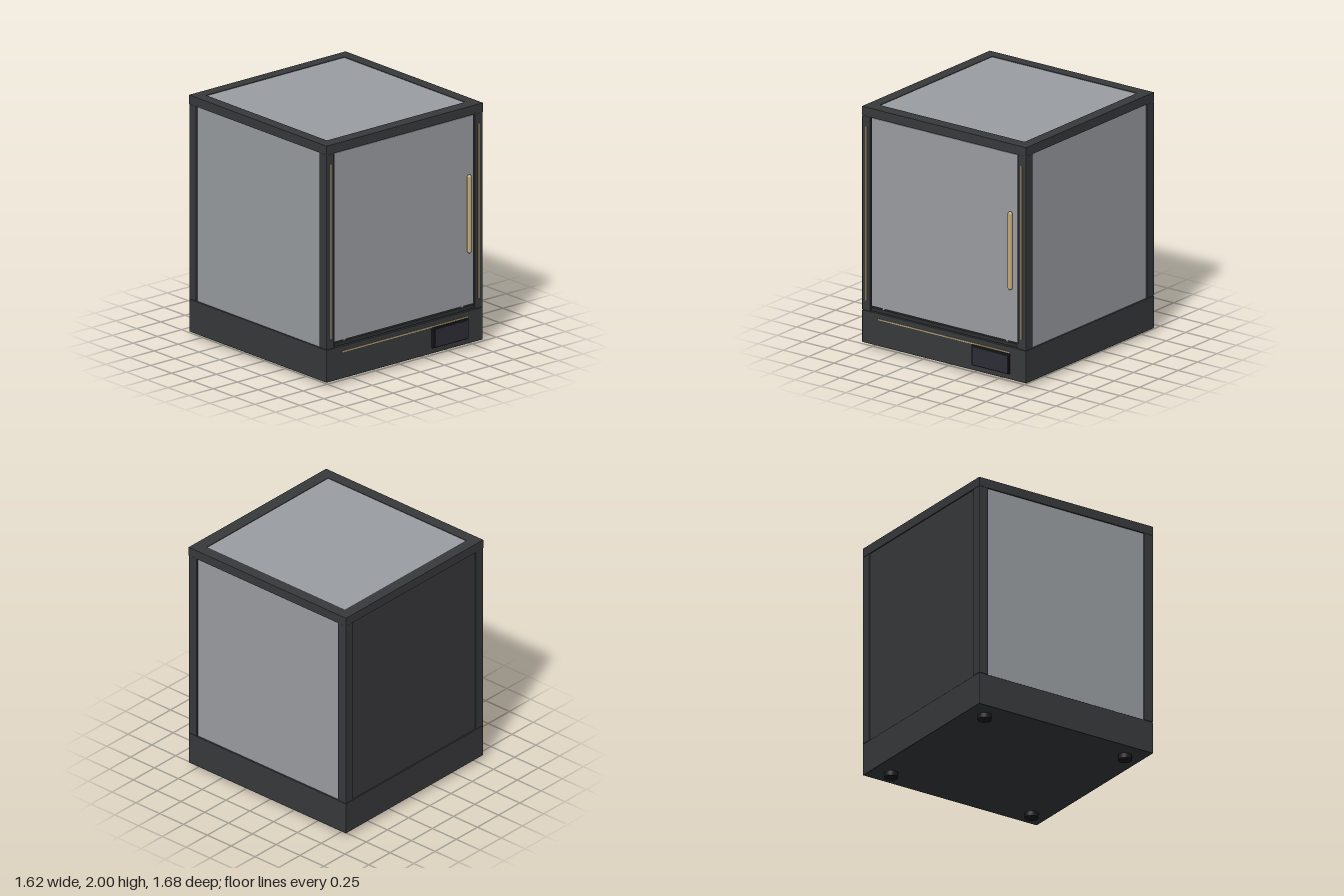
import * as THREE from 'three';
import { RoundedBoxGeometry } from 'three/addons/geometries/RoundedBoxGeometry.js';

const mat = (color) => new THREE.MeshStandardMaterial({ color });

export function createModel() {
  const model = new THREE.Group();
  const dark = mat(0x38393b), trim = mat(0x2c2e30), glass = mat(0x9a9da1);
  const gold = mat(0xc4ab7a), black = mat(0x1c1c20), display = mat(0x2d2d36);

  const add = (name, geometry, material, x = 0, y = 0, z = 0) => {
    const mesh = new THREE.Mesh(geometry, material);
    mesh.name = name;
    mesh.position.set(x, y, z);
    model.add(mesh);
    return mesh;
  };
  // Box given by its limits on each axis; r rounds the edges
  const box = (name, material, [x0, x1], [y0, y1], [z0, z1], r = 0) => {
    const size = [x1 - x0, y1 - y0, z1 - z0];
    const geometry = r ? new RoundedBoxGeometry(...size, 2, r) : new THREE.BoxGeometry(...size);
    return add(name, geometry, material, (x0 + x1) / 2, (y0 + y1) / 2, (z0 + z1) / 2);
  };

  // Base plinth
  box('base', dark, [-0.81, 0.81], [0.04, 0.31], [-0.84, 0.81], 0.004);

  // Top frame with a rectangular opening
  const rect = (target, x0, x1, z0, z1) => {
    target.moveTo(x0, -z1).lineTo(x1, -z1).lineTo(x1, -z0).lineTo(x0, -z0).closePath();
    return target;
  };
  const frame = rect(new THREE.Shape(), -0.81, 0.81, -0.84, 0.81);
  frame.holes.push(rect(new THREE.Path(), -0.715, 0.715, -0.745, 0.705));
  const frameGeometry = new THREE.ExtrudeGeometry(frame, { depth: 0.075, bevelEnabled: false });
  frameGeometry.rotateX(-Math.PI / 2);
  add('topFrame', frameGeometry, dark, 0, 1.925, 0);
  box('topGlass', glass, [-0.715, 0.715], [1.97, 1.995], [-0.745, 0.705]);

  for (const s of [-1, 1]) {
    const span = (a, b) => (s > 0 ? [a, b] : [-b, -a]);
    // Corner posts
    box('frontPost', dark, span(0.728, 0.81), [0.31, 1.925], [0.725, 0.81], 0.004);
    box('backPost', dark, span(0.725, 0.81), [0.31, 1.925], [-0.84, -0.755], 0.004);
    // Side glass, set in slightly
    box('sideGlass', glass, span(0.775, 0.797), [0.31, 1.925], [-0.755, 0.725]);
    // Vertical gold inlays
    box('postInlay', gold, span(0.76, 0.77), [0.395, 1.84], [0.805, 0.815]);
    // Door hinge tabs
    box('doorTab', glass, span(0.6, 0.62), [0.345, 0.358], [0.775, 0.797]);
    // Round feet
    for (const z of [-0.68, 0.65]) {
      add('foot', new THREE.CylinderGeometry(0.055, 0.055, 0.045, 24), black, s * 0.65, 0.0225, z);
    }
  }

  // Back panel
  box('backPanel', dark, [-0.725, 0.725], [0.31, 1.925], [-0.83, -0.805]);

  // Door with its sill and narrow side rails
  box('doorGlass', glass, [-0.72, 0.717], [0.355, 1.918], [0.775, 0.8]);
  box('doorSill', trim, [-0.72, 0.72], [0.315, 0.345], [0.76, 0.8]);
  for (const x of [-0.7235, 0.7235]) {
    box('doorSeal', trim, [x - 0.0045, x + 0.0045], [0.31, 1.925], [0.73, 0.795]);
  }

  // Door handle
  add('handle', new THREE.CapsuleGeometry(0.019, 0.612, 6, 16), gold, 0.66, 1.115, 0.821);

  // Base inlay and control screen
  box('baseInlay', gold, [-0.65, 0.65], [0.257, 0.267], [0.805, 0.815]);
  box('screenBezel', black, [0.28, 0.65], [0.085, 0.254], [0.8, 0.825], 0.006);
  box('screen', display, [0.3, 0.643], [0.093, 0.24], [0.82, 0.83]);

  return model;
}
